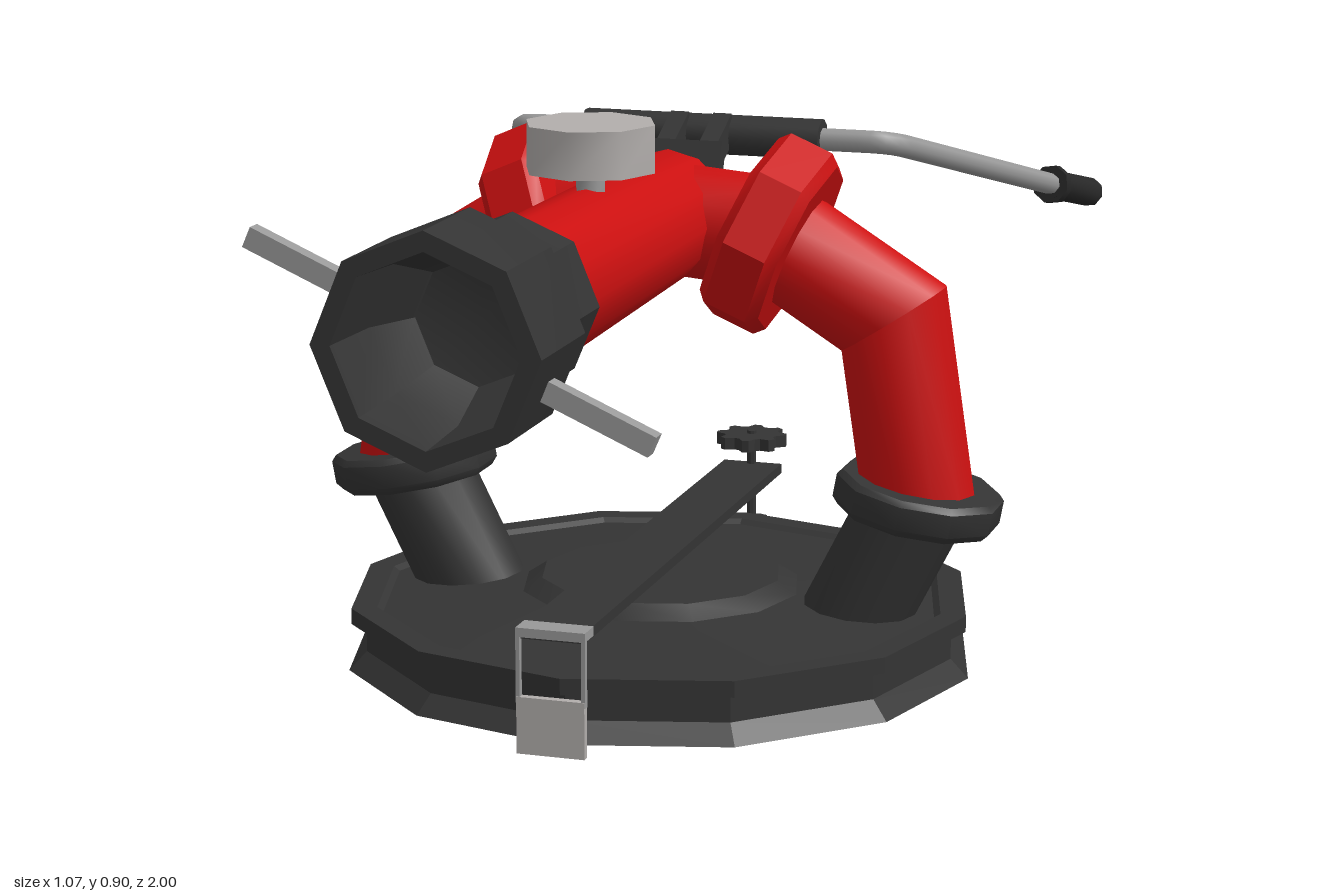
import * as THREE from 'three';
import { toCreasedNormals } from 'three/addons/utils/BufferGeometryUtils.js';

const V = (x, y, z) => new THREE.Vector3(x, y, z);
const Z0 = -0.015; // depth of the base and leg axis

function mat(name, color, side = THREE.FrontSide) {
  const m = new THREE.MeshStandardMaterial({ color, side });
  m.name = name;
  return m;
}

function add(parent, name, geo, material, pos = [0, 0, 0], rot = [0, 0, 0]) {
  const m = new THREE.Mesh(geo, material);
  m.name = name;
  m.position.set(...pos);
  m.rotation.set(...rot);
  parent.add(m);
  return m;
}

const lathe = (pts, sides, crease) =>
  toCreasedNormals(new THREE.LatheGeometry(pts.map(p => new THREE.Vector2(...p)), sides), crease);

const cyl = (r, h, sides, crease = 0.9) =>
  toCreasedNormals(new THREE.CylinderGeometry(r, r, h, sides), crease);

// Straight pipe in the xy plane between points a and b; na, nb are the mitre plane normals
function mitredPipe(a, b, na, nb, r, sides = 12) {
  const d = b.clone().sub(a).normalize();
  const pos = [], idx = [];
  for (const [p, n] of [[a, na], [b, nb]]) {
    const stretch = r / Math.max(0.3, n.dot(d));
    for (let i = 0; i < sides; i++) {
      const t = (i / sides) * Math.PI * 2;
      const c = Math.cos(t) * stretch;
      pos.push(p.x - n.y * c, p.y + n.x * c, Math.sin(t) * r);
    }
  }
  for (let i = 0; i < sides; i++) {
    const j = (i + 1) % sides;
    idx.push(i, i + sides, j, j, i + sides, j + sides);
  }
  const g = new THREE.BufferGeometry();
  g.setAttribute('position', new THREE.Float32BufferAttribute(pos, 3));
  g.setIndex(idx);
  g.computeVertexNormals();
  return g;
}

// Cylinder between two points
function rod(parent, name, a, b, r, sides, material) {
  const m = add(parent, name, cyl(r, a.distanceTo(b), sides), material);
  m.position.copy(a).lerp(b, 0.5);
  m.quaternion.setFromUnitVectors(V(0, 1, 0), b.clone().sub(a).normalize());
  return m;
}

export function createModel() {
  const root = new THREE.Group();
  root.name = 'waterMonitor';
  const red = mat('red paint', 0xcc1010, THREE.DoubleSide);
  const dark = mat('dark coating', 0x343434, THREE.DoubleSide);
  const grip = mat('black rubber', 0x282828);
  const steel = mat('steel', 0x999999);
  const pale = mat('pale metal', 0xb2aeac);

  // Base: twelve-sided hollow dish with a raised centre
  add(root, 'base', lathe([
    [0, 0.085], [0.25, 0.08], [0.44, 0.06], [0.48, 0.006], [0.495, 0.006], [0.467, 0.035],
    [0.467, 0.08], [0.49, 0.08], [0.49, 0.105], [0.45, 0.105], [0.44, 0.098],
    [0.22, 0.116], [0.19, 0.136], [0, 0.14],
  ], 12, 0.3), dark, [0, 0, Z0]);

  // Legs: mitred pipes from the base up to the crossing, the second one turned half round
  const path = [V(0.295, 0.055, 0), V(0.412, 0.288, 0), V(0.37, 0.565, 0), V(0.177, 0.685, 0), V(0, 0.7, 0)];
  const dirs = path.slice(1).map((p, i) => p.clone().sub(path[i]).normalize());
  const normals = path.map((p, i) =>
    (dirs[i - 1] || dirs[0]).clone().add(dirs[i] || V(-1, 0, 0)).normalize());
  normals[0].set(0, 1, 0);
  const names = ['lowerElbow', 'leg', 'upperElbow', 'crossPipe'];
  for (const side of ['left', 'right']) {
    const leg = new THREE.Group();
    leg.name = side + 'Leg';
    leg.position.z = Z0;
    leg.rotation.y = side === 'left' ? 0 : Math.PI;
    root.add(leg);
    names.forEach((n, i) => add(leg, n,
      mitredPipe(path[i], path[i + 1], normals[i], normals[i + 1], i ? 0.088 : 0.082),
      i ? red : dark));
    add(leg, 'collar', lathe([
      [0.08, -0.03], [0.12, -0.03], [0.13, -0.018], [0.13, 0.018], [0.122, 0.027], [0.08, 0.027],
    ], 10, 0.7), dark, [0.412, 0.286, 0], [0, 0, -0.18]);
    add(leg, 'flange', lathe([
      [0, -0.05], [0.14, -0.05], [0.156, -0.035], [0.156, 0.035], [0.14, 0.05], [0, 0.05],
    ], 8, 0.6), red, [0.177, 0.683, 0], [0, 0, 1.165]);
  }

  // Barrel and hollow nozzle, turned along z
  add(root, 'barrel', toCreasedNormals(
    new THREE.CylinderGeometry(0.106, 0.098, 0.72, 12), 0.9), red, [0, 0.702, 0.31], [Math.PI / 2, 0, 0]);
  add(root, 'nozzle', lathe([
    [0, 0.66], [0.125, 0.66], [0.125, 0.745], [0.16, 0.825], [0.16, 1],
    [0.132, 1], [0.125, 0.88], [0.09, 0.8], [0, 0.78],
  ], 8, 0.6), dark, [0, 0.702, 0], [Math.PI / 2, 0, 0]);

  // Nozzle handles
  const tilt = -0.41;
  for (const s of [-1, 1]) {
    add(root, s > 0 ? 'leftNozzleHandle' : 'rightNozzleHandle', new THREE.BoxGeometry(0.165, 0.03, 0.024),
      steel, [s * 0.225 * Math.cos(tilt), 0.7 + s * 0.225 * Math.sin(tilt), 0.907], [0, 0, tilt]);
  }

  // Pressure gauge
  add(root, 'gauge', cyl(0.098, 0.07, 8), pale, [0, 0.864, 0.325]);
  add(root, 'gaugeStem', cyl(0.022, 0.05, 8), steel, [0, 0.815, 0.325]);

  // Steering bar bracket
  add(root, 'bracketPlate', new THREE.BoxGeometry(0.14, 0.08, 0.025), dark, [0, 0.765, -0.1], [-0.4, 0, 0]);
  for (const s of [-1, 1]) {
    add(root, 'bracketArm', new THREE.BoxGeometry(0.03, 0.045, 0.14), dark, [s * 0.035, 0.782, -0.17], [0.42, 0, 0]);
  }

  // Steering bar with bent steel rods and grips
  rod(root, 'steeringBar', V(-0.195, 0.795, -0.238), V(0.195, 0.795, -0.238), 0.032, 10, dark);
  for (const s of [-1, 1]) {
    const p = (x, y, z) => V(s * x, y, z);
    const curve = new THREE.CurvePath();
    const start = p(0.27, 0.795, -0.238), end = p(0.32, 0.782, -0.285);
    curve.add(new THREE.LineCurve3(p(0.18, 0.795, -0.238), start));
    curve.add(new THREE.QuadraticBezierCurve3(start, p(0.31, 0.795, -0.238), end));
    curve.add(new THREE.LineCurve3(end, p(0.44, 0.635, -0.84)));
    add(root, 'steeringRod', new THREE.TubeGeometry(curve, 40, 0.018, 8), steel);
    rod(root, 'grip', p(0.438, 0.637, -0.83), p(0.475, 0.598, -0.99), 0.025, 8, grip);
    rod(root, 'gripRing', p(0.438, 0.637, -0.83), p(0.442, 0.633, -0.848), 0.033, 8, grip);
  }

  // Clamp strap over the base
  add(root, 'strap', new THREE.BoxGeometry(0.1, 0.016, 1.04), dark, [0, 0.18, -0.01]);
  add(root, 'clipTop', new THREE.BoxGeometry(0.106, 0.014, 0.04), steel, [0, 0.183, 0.497]);
  add(root, 'clipPlate', new THREE.BoxGeometry(0.104, 0.086, 0.012), pale, [0, 0.043, 0.512]);
  for (const s of [-1, 1]) {
    add(root, 'clipWire', new THREE.BoxGeometry(0.006, 0.11, 0.01), steel, [s * 0.05, 0.132, 0.512]);
  }

  // Rear clamp screw with a notched hand knob and hook
  add(root, 'clampScrew', cyl(0.008, 0.19, 8), dark, [0, 0.15, -0.522]);
  add(root, 'clampHook', new THREE.BoxGeometry(0.07, 0.03, 0.075), dark, [0, 0.062, -0.52]);
  add(root, 'clampNut', cyl(0.022, 0.045, 8), dark, [0, 0.065, -0.548]);
  const star = new THREE.Shape();
  for (let i = 0; i < 32; i++) {
    const t = (i / 32) * Math.PI * 2, r = i % 4 < 2 ? 0.059 : 0.046;
    star[i ? 'lineTo' : 'moveTo'](Math.cos(t) * r, Math.sin(t) * r);
  }
  add(root, 'clampKnob', new THREE.ExtrudeGeometry(star, { depth: 0.02, bevelEnabled: false }),
    dark, [0, 0.22, -0.522], [-Math.PI / 2, 0, 0]);

  return root;
}
